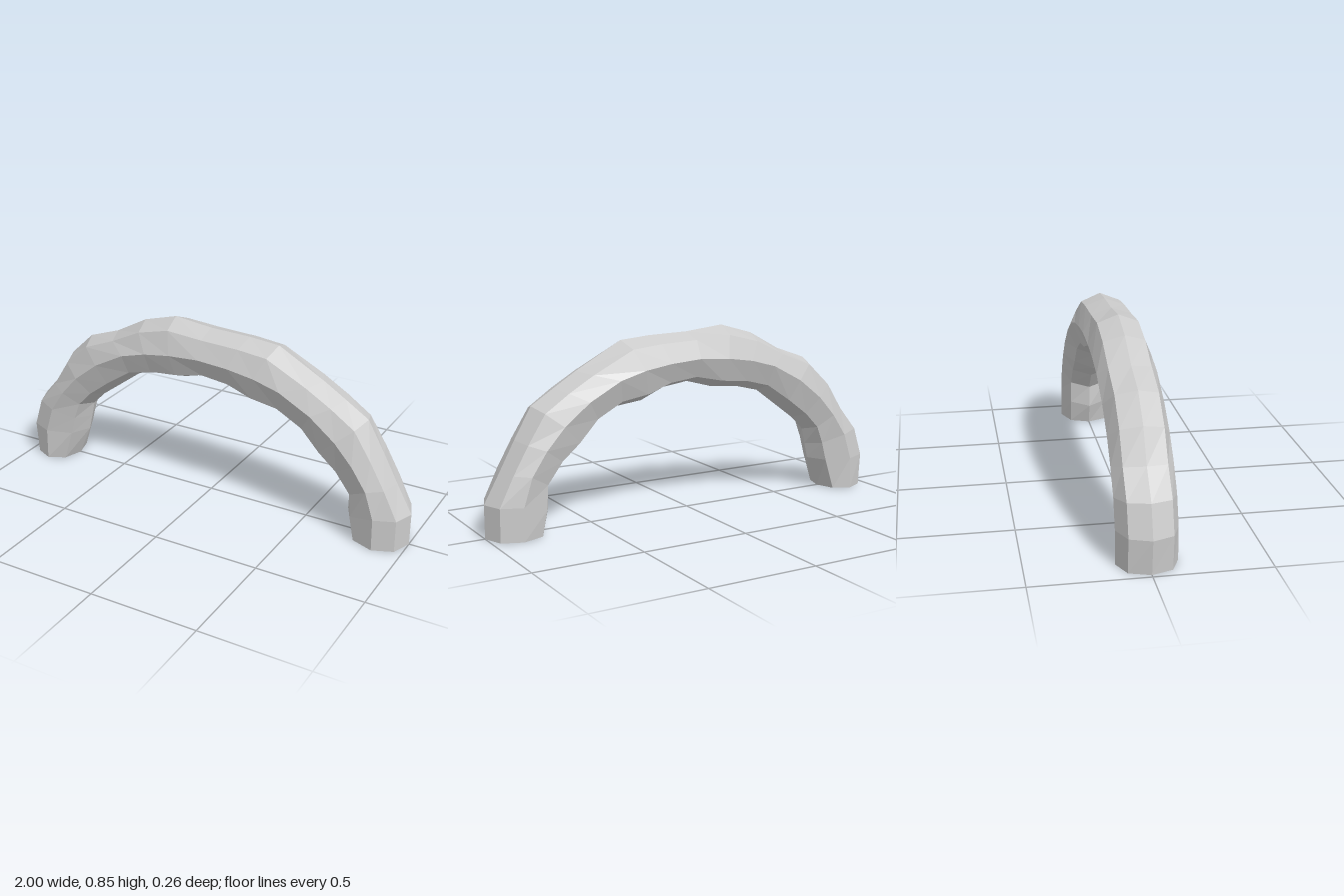
import * as THREE from 'three';

// Crest line (z = 0, outside of the bend) from one foot to the other
const outer = [
  [-0.985, 0], [-1, 0.155], [-0.955, 0.295], [-0.855, 0.41], [-0.775, 0.55], [-0.66, 0.66], [-0.505, 0.715],
  [-0.35, 0.8], [-0.185, 0.847], [0, 0.827], [0.195, 0.822], [0.34, 0.81], [0.56, 0.69], [0.665, 0.625],
  [0.775, 0.555], [0.855, 0.415], [0.925, 0.285], [1, 0.15], [1, 0],
];
// Underside line (z = 0, inside of the bend)
const inner = [
  [-0.765, 0], [-0.7, 0.15], [-0.682, 0.225], [-0.665, 0.3], [-0.6, 0.365], [-0.505, 0.435], [-0.39, 0.52],
  [-0.27, 0.55], [-0.135, 0.56], [0, 0.597], [0.125, 0.58], [0.24, 0.53], [0.37, 0.515], [0.48, 0.455],
  [0.555, 0.36], [0.64, 0.295], [0.71, 0.205], [0.705, 0.1], [0.735, 0],
];
// Widest line along the flanks, one half, mirrored for the other
const halfFlank = [
  [-0.873, 0], [-0.87, 0.15], [-0.83, 0.275], [-0.76, 0.38], [-0.675, 0.475],
  [-0.555, 0.57], [-0.405, 0.65], [-0.28, 0.685], [-0.15, 0.705], [0, 0.715],
];
const flank = [...halfFlank, ...halfFlank.slice(0, -1).reverse().map(([x, y]) => [-x, y])];

const mix = (a, b, t) => [a[0] + (b[0] - a[0]) * t, a[1] + (b[1] - a[1]) * t];

// Eight-sided cross-section: crest, front flank, underside, back flank
function section(i) {
  const shoulder = mix(outer[i], flank[i], 0.27);
  const belly = mix(inner[i], flank[i], 0.27);
  return [
    [...outer[i], 0], [...shoulder, 0.092], [...flank[i], 0.13], [...belly, 0.092],
    [...inner[i], 0], [...belly, -0.092], [...flank[i], -0.13], [...shoulder, -0.092],
  ];
}

export function createModel() {
  const group = new THREE.Group();
  group.name = 'arch';

  // Join neighbouring cross-sections with flat facets; the feet stay open
  const rings = outer.map((_, i) => section(i));
  const positions = [];
  for (let i = 0; i < rings.length - 1; i++) {
    for (let k = 0; k < 8; k++) {
      const n = (k + 1) % 8;
      const a = rings[i][k], b = rings[i][n], c = rings[i + 1][k], d = rings[i + 1][n];
      positions.push(...a, ...b, ...d, ...a, ...d, ...c);
    }
  }
  const geometry = new THREE.BufferGeometry();
  geometry.setAttribute('position', new THREE.Float32BufferAttribute(positions, 3));
  geometry.computeVertexNormals();

  const material = new THREE.MeshStandardMaterial({
    color: 0xcccccc, flatShading: true, side: THREE.DoubleSide,
  });
  const tube = new THREE.Mesh(geometry, material);
  tube.name = 'archTube';
  group.add(tube);
  return group;
}
